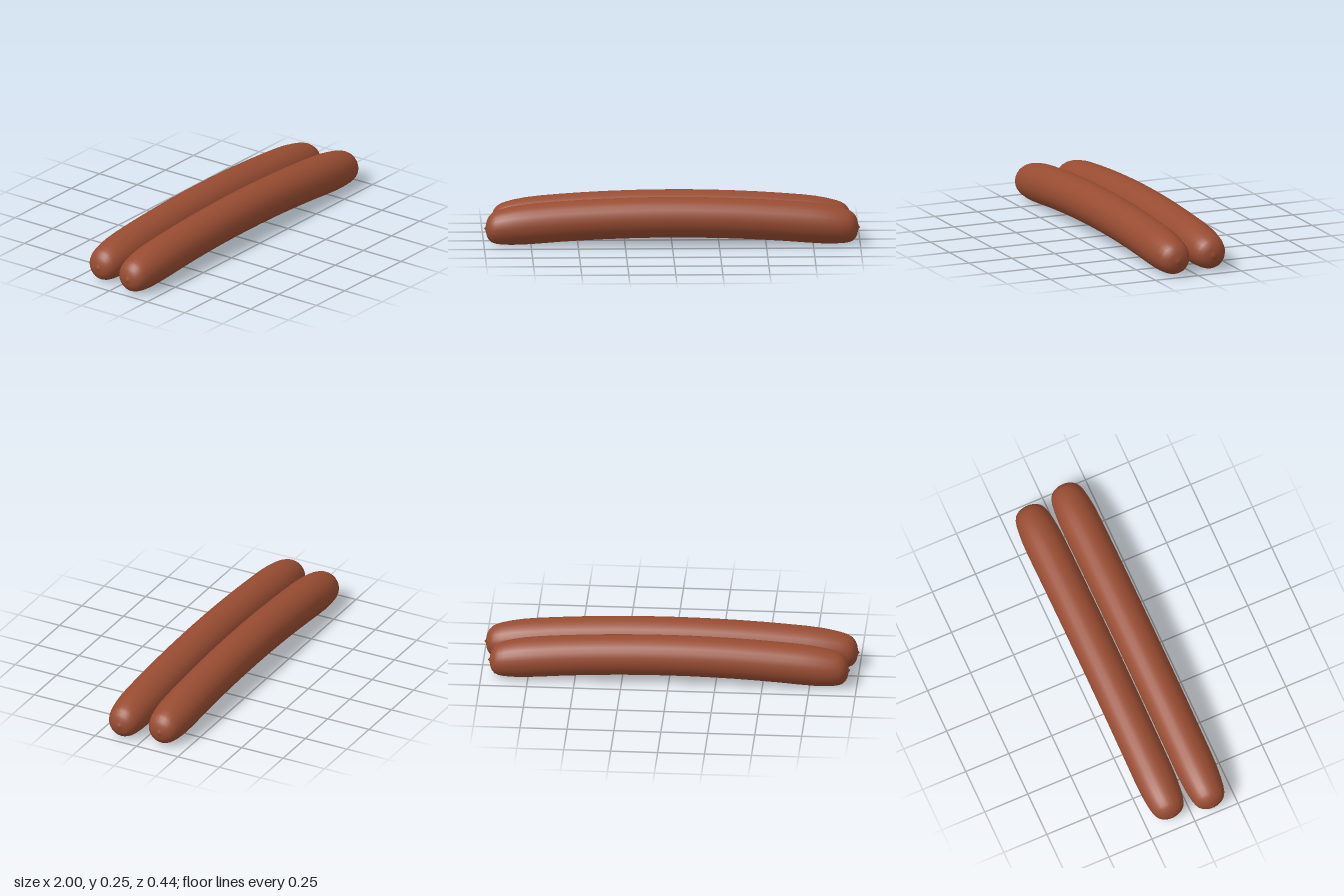
import * as THREE from 'three';
import { mergeVertices } from 'three/addons/utils/BufferGeometryUtils.js';

const sausageSkin = new THREE.MeshStandardMaterial({ color: 0x984c32 });
sausageSkin.name = 'sausage brown';

// Half profile from the middle to the pinched tip: [distance along, radius]
const HALF = [
  [0.12, 0.108], [0.24, 0.108], [0.36, 0.108], [0.48, 0.108], [0.6, 0.108],
  [0.72, 0.108], [0.8, 0.106], [0.86, 0.101], [0.91, 0.094], [0.94, 0.086],
  [0.96, 0.076], [0.975, 0.06], [0.984, 0.042], [0.988, 0.024], [0.991, 0.01],
  [1, 0],
];

// Lathed casing laid along x, then bent into a shallow arch
function makeSausage(name, halfLength, z) {
  const profile = [
    ...HALF.map(([d, r]) => new THREE.Vector2(r, -d)).reverse(),
    new THREE.Vector2(0.108, 0),
    ...HALF.map(([d, r]) => new THREE.Vector2(r, d)),
  ];
  let geometry = new THREE.LatheGeometry(profile, 24);
  geometry.rotateZ(-Math.PI / 2);
  const p = geometry.attributes.position;
  for (let i = 0; i < p.count; i++) {
    const t = p.getX(i);
    p.setXYZ(i, t * halfLength, p.getY(i) + 0.147 - 0.058 * t * t, p.getZ(i) + z);
  }
  // Weld the seam so the skin shades smoothly all round
  geometry.deleteAttribute('uv');
  geometry.deleteAttribute('normal');
  geometry = mergeVertices(geometry, 1e-5);
  geometry.computeVertexNormals();
  const mesh = new THREE.Mesh(geometry, sausageSkin);
  mesh.name = name;
  return mesh;
}

export function createModel() {
  const group = new THREE.Group();
  group.name = 'sausages';
  group.add(makeSausage('frontSausage', 1, 0.111));
  group.add(makeSausage('backSausage', 0.965, -0.111));
  return group;
}
